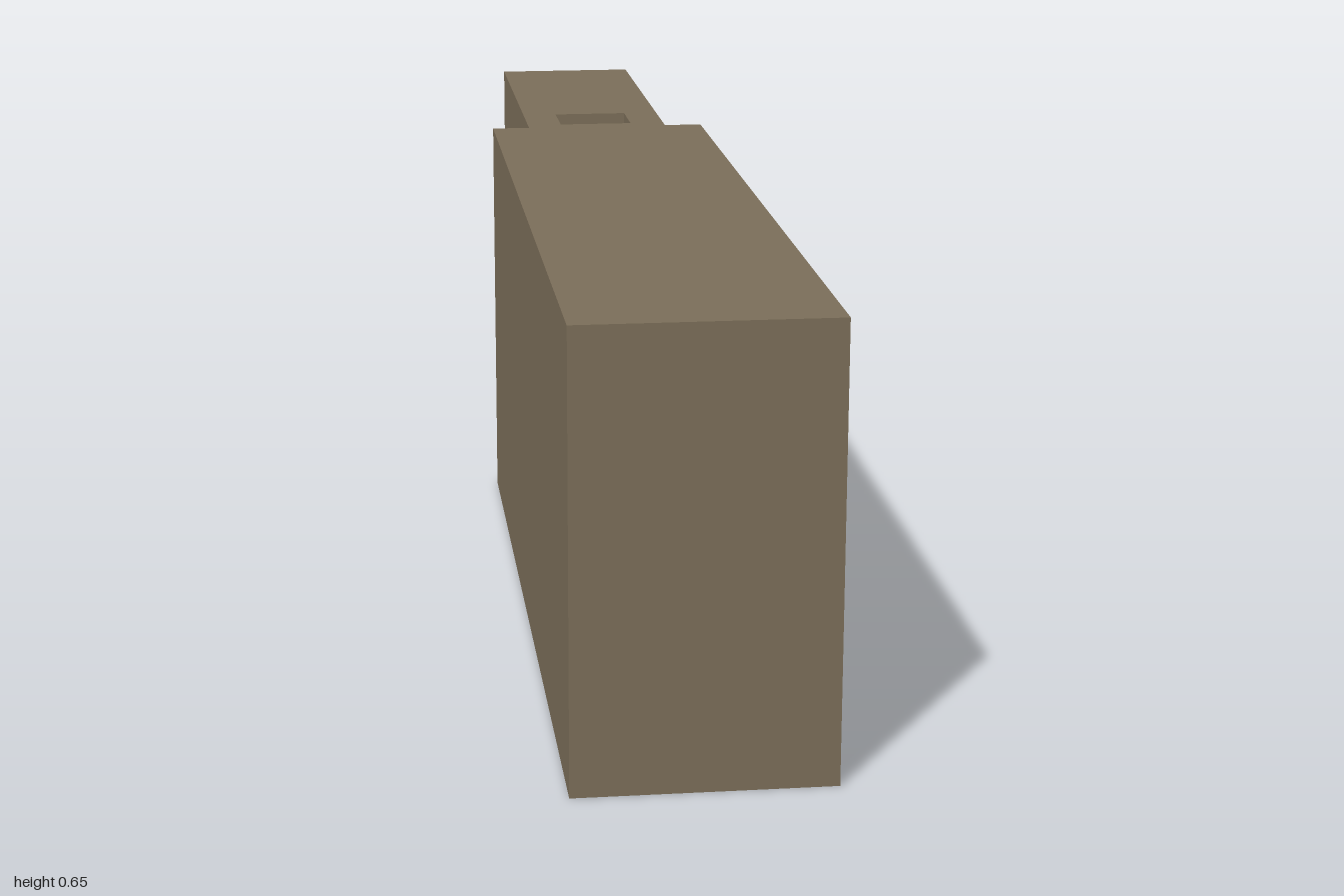
import * as THREE from 'three';

const BOTTOM = 0.004, TOP = 0.654;     // block height range
const HALF_W = 0.183, BEAM_W = 0.12;   // half widths
const BACK = -0.386, SLOT_END = -0.262; // rear face and inner end of the slot
const SLOT_FLOOR = 0.327, BEAM_BOTTOM = 0.494;

function polygon(points) {
  return new THREE.Shape(points.map(([x, y]) => new THREE.Vector2(x, y)));
}

export function createModel() {
  const model = new THREE.Group();
  const wood = new THREE.MeshStandardMaterial({ color: 0x7b6e59 });
  wood.name = 'brown wood';

  const add = (name, geometry) => {
    const mesh = new THREE.Mesh(geometry, wood);
    mesh.name = name;
    model.add(mesh);
    return mesh;
  };

  // Solid front part of the block
  const length = 1 - SLOT_END;
  add('block', new THREE.BoxGeometry(HALF_W * 2, TOP - BOTTOM, length))
    .position.set(0, (TOP + BOTTOM) / 2, SLOT_END + length / 2);

  // Rear of the block, with a slot open to the top and back
  const slotted = polygon([
    [-HALF_W, BOTTOM], [HALF_W, BOTTOM], [HALF_W, TOP], [BEAM_W, TOP],
    [BEAM_W, SLOT_FLOOR], [-BEAM_W, SLOT_FLOOR], [-BEAM_W, TOP], [-HALF_W, TOP],
  ]);
  add('slottedEnd', new THREE.ExtrudeGeometry(slotted, { depth: SLOT_END - BACK, bevelEnabled: false }))
    .position.z = BACK;

  // Beam seated in the slot, with a square hole through it; drawn from above as (x, -z)
  const plan = polygon([
    [-BEAM_W, -SLOT_END], [BEAM_W, -SLOT_END], [BEAM_W, 1], [-BEAM_W, 1],
  ]);
  plan.holes.push(polygon([[-0.062, 0.412], [-0.062, 0.513], [0.062, 0.513], [0.062, 0.412]]));
  const beam = new THREE.ExtrudeGeometry(plan, { depth: TOP - BEAM_BOTTOM, bevelEnabled: false });
  beam.rotateX(-Math.PI / 2);
  add('beam', beam).position.y = BEAM_BOTTOM;

  return model;
}
